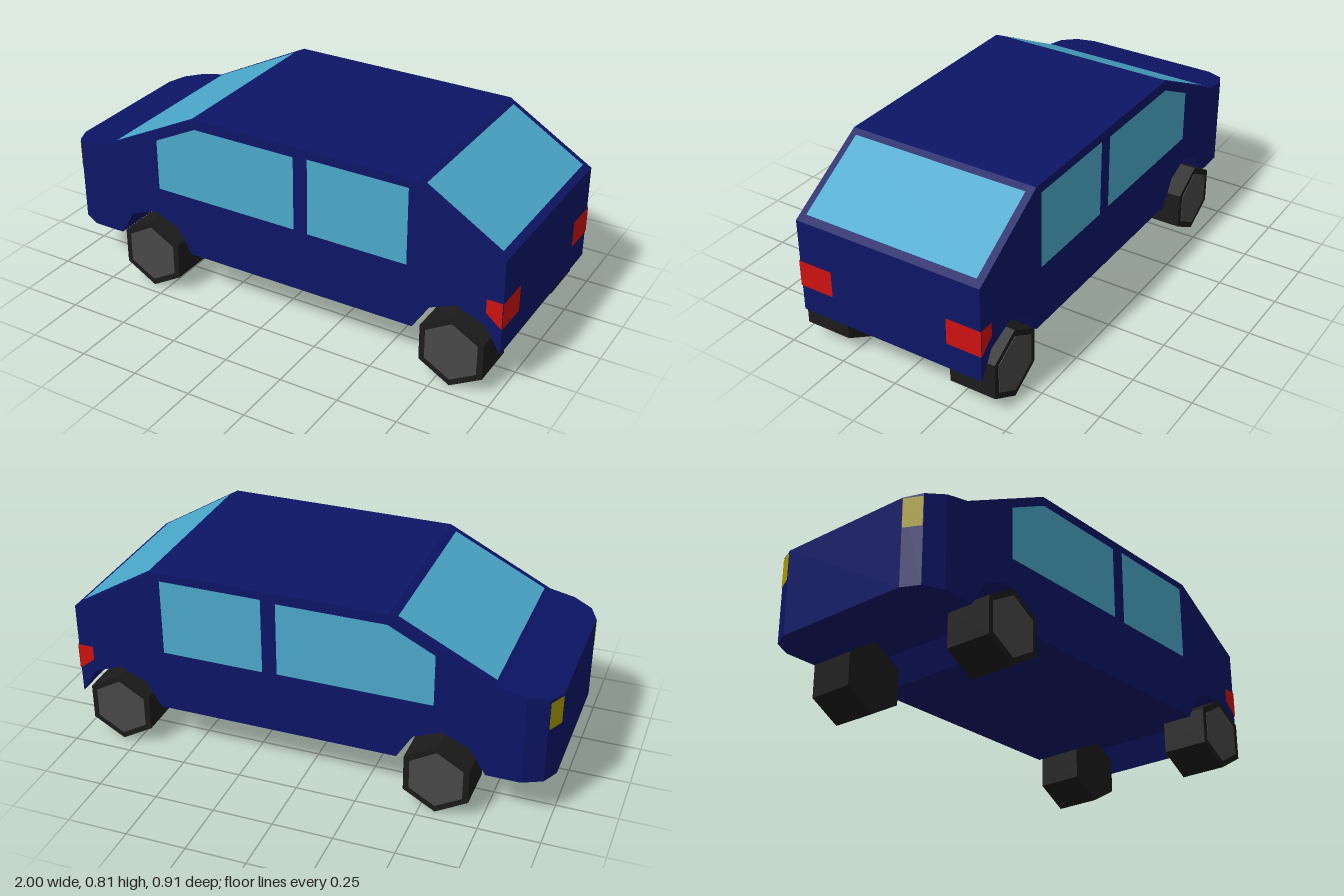
import * as THREE from 'three';

const CENTRE_Z = 0.009, HALF_W = 0.411, FLOOR = 0.185, LIFT = 0.003;
const NOSE_X = -0.885; // where the tapered nose meets the main body

const paint = (color, side = THREE.FrontSide) =>
  new THREE.MeshStandardMaterial({ color, side, flatShading: true });
const blue = paint(0x0d1566);
const glass = paint(0x4ba9cc, THREE.DoubleSide);
const red = paint(0xcc1210, THREE.DoubleSide);
const yellow = paint(0xa89c00, THREE.DoubleSide);
const rubber = paint(0x1b1b1b);
const hubGrey = paint(0x484848);

const hoodY = (x) => 0.545 + (x + 1) * 0.2045;
const shapeOf = (points) => new THREE.Shape(points.map(([x, y]) => new THREE.Vector2(x, y)));

function add(group, name, geometry, material) {
  const mesh = new THREE.Mesh(geometry, material);
  mesh.name = name;
  group.add(mesh);
  return mesh;
}

// Flat convex panel as a fan over its corners
function panel(corners) {
  const positions = [];
  for (let i = 1; i < corners.length - 1; i++) {
    positions.push(...corners[0], ...corners[i], ...corners[i + 1]);
  }
  const geometry = new THREE.BufferGeometry();
  geometry.setAttribute('position', new THREE.Float32BufferAttribute(positions, 3));
  geometry.computeVertexNormals();
  return geometry;
}

// Side outline with wheel arches running right across the car
function bodyGeometry() {
  const outline = [
    [NOSE_X, FLOOR], [-0.745, FLOOR], [-0.68, 0.292], [-0.565, 0.34], [-0.45, 0.292], [-0.385, FLOOR],
    [0.635, FLOOR], [0.7, 0.292], [0.815, 0.34], [0.935, 0.292], [1, FLOOR],
    [1, 0.59], [0.635, 0.812], [-0.34, 0.812], [-0.78, 0.59], [NOSE_X, hoodY(NOSE_X)],
  ];
  return new THREE.ExtrudeGeometry(shapeOf(outline), { depth: 2 * HALF_W, bevelEnabled: false })
    .translate(0, 0, CENTRE_Z - HALF_W);
}

// Nose: plan outline raised to the sloping bonnet line
function noseGeometry() {
  const half = [[NOSE_X, HALF_W], [-0.965, 0.372], [-1, 0.3]];
  const plan = [...half, ...half.map(([x, z]) => [x, -z]).reverse()];
  const geometry = new THREE.ExtrudeGeometry(shapeOf(plan), { depth: 1, bevelEnabled: false })
    .rotateX(-Math.PI / 2);
  const p = geometry.attributes.position;
  for (let i = 0; i < p.count; i++) p.setY(i, p.getY(i) > 0.5 ? hoodY(p.getX(i)) : FLOOR);
  geometry.translate(0, 0, CENTRE_Z);
  geometry.computeVertexNormals();
  return geometry;
}

// Sloping window between two points of the side outline
function slopedWindow([x0, y0], [x1, y1]) {
  const length = Math.hypot(x1 - x0, y1 - y0);
  const dx = (-(y1 - y0) / length) * LIFT, dy = ((x1 - x0) / length) * LIFT;
  const zA = CENTRE_Z - 0.382, zB = CENTRE_Z + 0.382;
  return panel([
    [x0 + dx, y0 + dy, zB], [x1 + dx, y1 + dy, zB],
    [x1 + dx, y1 + dy, zA], [x0 + dx, y0 + dy, zA],
  ]);
}

// Six-sided tyre with a hub plate on its outer face
function wheel(name, x, outerZ, side) {
  const group = new THREE.Group();
  group.name = name;
  const width = 0.2;
  const hex = (radius, depth) => new THREE.CylinderGeometry(radius, radius, depth, 6).rotateX(Math.PI / 2);
  add(group, 'tyre', hex(0.153, width), rubber);
  add(group, 'hub', hex(0.125, 0.01), hubGrey).position.z = side * (width / 2 - 0.003);
  group.position.set(x, 0.153, outerZ - (side * width) / 2);
  return group;
}

export function createModel() {
  const car = new THREE.Group();
  car.name = 'car';

  add(car, 'body', bodyGeometry(), blue);
  add(car, 'nose', noseGeometry(), blue);

  add(car, 'windscreen', slopedWindow([-0.76, 0.6], [-0.37, 0.795]), glass);
  add(car, 'rearWindow', slopedWindow([0.66, 0.797], [0.972, 0.607]), glass);

  // Side windows and lights, one set per side
  const frontWindow = [[-0.53, 0.455], [0.113, 0.455], [0.113, 0.77], [-0.34, 0.77], [-0.53, 0.675]];
  const backWindow = [[0.175, 0.452], [0.605, 0.452], [0.605, 0.777], [0.175, 0.777]];
  const lampSide = [[0.935, 0.41], [1, 0.41], [1, 0.297], [0.935, 0.35]];
  for (const side of [1, -1]) {
    const z = CENTRE_Z + side * (HALF_W + LIFT);
    const onSide = (points) => panel(points.map(([x, y]) => [x, y, z]));
    add(car, 'frontSideWindow', onSide(frontWindow), glass);
    add(car, 'backSideWindow', onSide(backWindow), glass);
    add(car, 'tailLightSide', onSide(lampSide), red);

    const inner = CENTRE_Z + side * 0.262, x = 1 + LIFT;
    add(car, 'tailLight', panel([[x, 0.297, inner], [x, 0.297, z], [x, 0.41, z], [x, 0.41, inner]]), red);

    // Headlight on the bevelled corner of the nose
    const zFront = CENTRE_Z + side * (0.3 + LIFT), zBack = CENTRE_Z + side * (0.369 + LIFT);
    const xFront = -1 - LIFT / 2, xBack = -0.968;
    add(car, 'headlight', panel([
      [xFront, 0.42, zFront], [xBack, 0.42, zBack], [xBack, 0.54, zBack], [xFront, 0.54, zFront],
    ]), yellow);
  }

  // Wheels
  car.add(wheel('frontLeftWheel', -0.562, 0.455, 1));
  car.add(wheel('frontRightWheel', -0.565, -0.455, -1));
  car.add(wheel('backLeftWheel', 0.818, 0.455, 1));
  car.add(wheel('backRightWheel', 0.815, -0.423, -1));
  return car;
}
